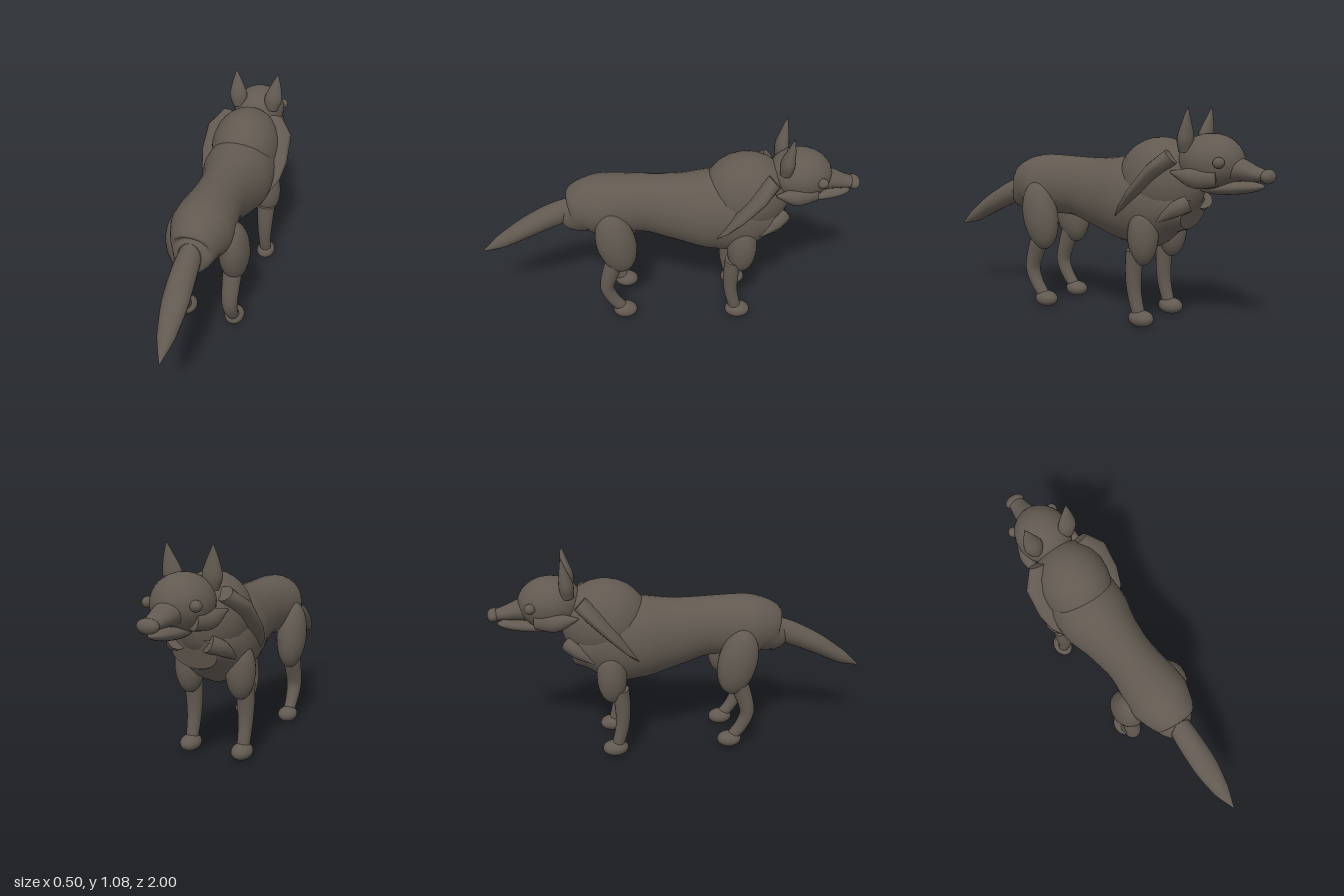
import * as THREE from 'three';

const fur = new THREE.MeshStandardMaterial({ color: 0x625a51 });
fur.name = 'greyBrownFur';

// Skin elliptical sections along a path; row = [x, y, z, half width, half depth]
function loft(rows, steps = 4, sides = 20) {
  const path = new THREE.CatmullRomCurve3(rows.map(r => new THREE.Vector3(r[0], r[1], r[2])));
  const radii = new THREE.CatmullRomCurve3(rows.map(r => new THREE.Vector3(r[3], r[4], 0)));
  const count = (rows.length - 1) * steps;
  const pos = [], index = [];
  const X = new THREE.Vector3(1, 0, 0);
  const ring = i => {
    const t = i / count, c = path.getPoint(t), r = radii.getPoint(t);
    const T = path.getTangent(t);
    const N = T.clone().cross(X).normalize();
    const W = N.clone().cross(T).normalize();
    for (let j = 0; j < sides; j++) {
      const a = j / sides * Math.PI * 2;
      const p = c.clone().addScaledVector(W, Math.cos(a) * Math.max(r.x, 0.002))
        .addScaledVector(N, Math.sin(a) * Math.max(r.y, 0.002));
      pos.push(p.x, p.y, p.z);
    }
    return c;
  };
  for (let i = 0; i <= count; i++) ring(i);
  for (let i = 0; i < count; i++) for (let j = 0; j < sides; j++) {
    const k = (j + 1) % sides, a = i * sides + j, b = i * sides + k;
    index.push(a, b, a + sides, b, b + sides, a + sides);
  }
  // End caps with their own vertices
  for (const end of [0, count]) {
    const s = pos.length / 3, c = ring(end), m = pos.length / 3;
    pos.push(c.x, c.y, c.z);
    for (let j = 0; j < sides; j++) {
      const a = s + j, b = s + (j + 1) % sides;
      if (end) index.push(m, a, b); else index.push(m, b, a);
    }
  }
  const g = new THREE.BufferGeometry();
  g.setAttribute('position', new THREE.Float32BufferAttribute(pos, 3));
  g.setIndex(index);
  g.computeVertexNormals();
  return g;
}

export function createModel() {
  const model = new THREE.Group();
  model.name = 'wolf';
  const add = (name, geometry) => {
    const mesh = new THREE.Mesh(geometry, fur);
    mesh.name = name;
    model.add(mesh);
    return mesh;
  };
  const blob = (name, p, r, tilt = 0) => {
    const mesh = add(name, new THREE.SphereGeometry(1, 24, 16));
    mesh.position.set(...p);
    mesh.scale.set(...r);
    mesh.rotation.x = tilt;
  };

  // Torso, from rump to chest
  add('body', loft([
    [0, 0.62, 0.54, 0.06, 0.07], [0, 0.61, 0.50, 0.10, 0.105],
    [0, 0.64, 0.43, 0.137, 0.15], [0, 0.655, 0.34, 0.16, 0.165],
    [0, 0.66, 0.12, 0.137, 0.16], [0, 0.635, -0.06, 0.155, 0.188],
    [0, 0.62, -0.22, 0.193, 0.22], [0, 0.61, -0.38, 0.195, 0.228],
    [0, 0.60, -0.50, 0.165, 0.16], [0, 0.575, -0.59, 0.12, 0.085],
  ], 4, 28));
  blob('shoulderMane', [0, 0.72, -0.41], [0.19, 0.22, 0.23]);

  // Tail
  add('tail', loft([
    [0, 0.63, 0.50, 0.055, 0.062], [0, 0.59, 0.60, 0.063, 0.063],
    [0.005, 0.52, 0.74, 0.065, 0.055], [0.012, 0.43, 0.89, 0.043, 0.038],
    [0.02, 0.37, 0.997, 0.003, 0.004],
  ]));

  // Head
  blob('skull', [0, 0.83, -0.68], [0.145, 0.135, 0.165]);
  add('snout', loft([
    [0, 0.80, -0.72, 0.085, 0.08], [0, 0.80, -0.82, 0.07, 0.058],
    [0, 0.785, -0.90, 0.052, 0.038], [0, 0.775, -0.965, 0.04, 0.026],
  ]));
  blob('nose', [0, 0.775, -0.967], [0.054, 0.034, 0.033]);
  blob('lowerJaw', [0, 0.712, -0.79], [0.06, 0.032, 0.165], 0.1);

  for (const s of [1, -1]) {
    const side = s > 0 ? 'left' : 'right';
    const pair = (name, rows, steps, sides) =>
      add(side + name, loft(rows.map(([x, ...rest]) => [s * x, ...rest]), steps, sides));

    blob(side + 'Eye', [s * 0.12, 0.836, -0.778], [0.028, 0.026, 0.028]);
    pair('Ear', [
      [0.095, 0.88, -0.59, 0.035, 0.03], [0.102, 0.94, -0.595, 0.05, 0.037],
      [0.112, 1.01, -0.605, 0.032, 0.022], [0.12, 1.085, -0.615, 0.002, 0.002],
    ]);
    // Fur tufts on cheek, neck and chest
    pair('CheekTuft', [
      [0.09, 0.765, -0.755, 0.035, 0.045], [0.118, 0.76, -0.66, 0.045, 0.05],
      [0.152, 0.785, -0.545, 0.005, 0.005],
    ]);
    pair('NeckMane', [
      [0.13, 0.855, -0.535, 0.045, 0.042], [0.145, 0.79, -0.465, 0.10, 0.04],
      [0.15, 0.68, -0.365, 0.10, 0.03], [0.15, 0.60, -0.295, 0.08, 0.016],
      [0.16, 0.55, -0.25, 0.03, 0.004],
    ], 1, 12);
    pair('ChestTuft', [
      [0.08, 0.63, -0.60, 0.05, 0.045], [0.125, 0.60, -0.55, 0.045, 0.04],
      [0.155, 0.54, -0.475, 0.006, 0.006],
    ], 2, 10);

    // Hind leg
    blob(side + 'Thigh', [s * 0.14, 0.50, 0.27], [0.08, 0.185, 0.105], 0.2);
    pair('HindShin', [
      [0.135, 0.40, 0.27, 0.052, 0.05], [0.135, 0.32, 0.30, 0.048, 0.047],
      [0.135, 0.20, 0.33, 0.042, 0.038], [0.135, 0.12, 0.30, 0.036, 0.034],
      [0.135, 0.05, 0.245, 0.03, 0.032],
    ]);
    blob(side + 'HindPaw', [s * 0.135, 0.043, 0.235], [0.053, 0.042, 0.066]);

    // Front leg
    blob(side + 'UpperForeleg', [s * 0.14, 0.46, -0.39], [0.075, 0.148, 0.078]);
    pair('Foreleg', [
      [0.145, 0.385, -0.35, 0.052, 0.046], [0.145, 0.28, -0.34, 0.045, 0.041],
      [0.145, 0.17, -0.345, 0.037, 0.036], [0.145, 0.05, -0.375, 0.031, 0.032],
    ]);
    blob(side + 'ForePaw', [s * 0.145, 0.043, -0.385], [0.053, 0.042, 0.068]);
  }
  return model;
}
